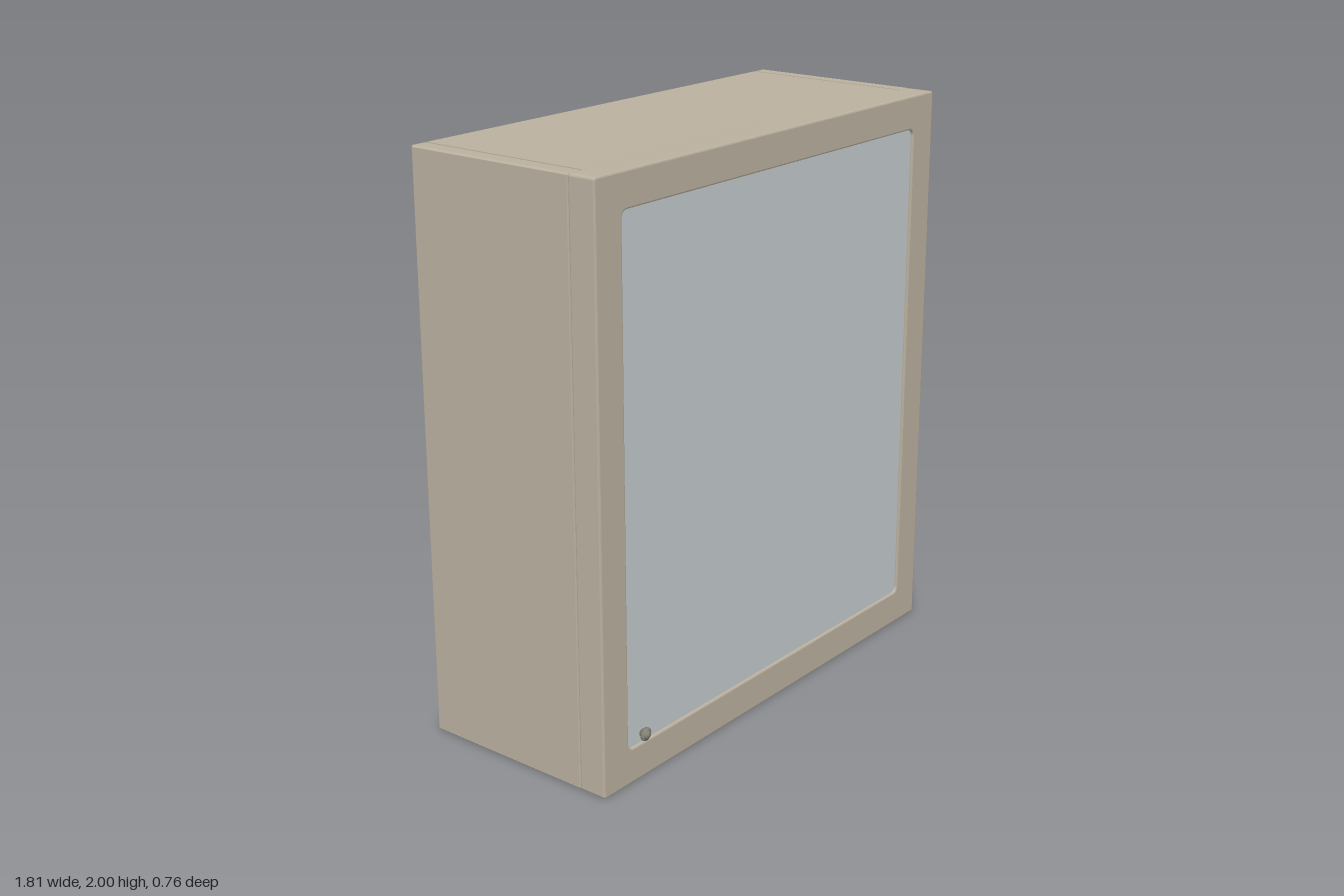
import * as THREE from 'three';

const mat = (name, color) => new THREE.MeshStandardMaterial({ name, color });

// Rounded rectangle outline, usable as a shape or as a hole
function roundRect(x0, x1, y0, y1, r, Type = THREE.Shape) {
  const s = new Type();
  s.moveTo(x0 + r, y0);
  s.lineTo(x1 - r, y0);
  s.absarc(x1 - r, y0 + r, r, -Math.PI / 2, 0);
  s.lineTo(x1, y1 - r);
  s.absarc(x1 - r, y1 - r, r, 0, Math.PI / 2);
  s.lineTo(x0 + r, y1);
  s.absarc(x0 + r, y1 - r, r, Math.PI / 2, Math.PI);
  s.lineTo(x0, y0 + r);
  s.absarc(x0 + r, y0 + r, r, Math.PI, Math.PI * 1.5);
  return s;
}

// Extrudes from z0 to z1 with softened edges that stay inside the outline
function slab(shape, z0, z1, bevel) {
  const geo = new THREE.ExtrudeGeometry(shape, {
    depth: z1 - z0 - 2 * bevel, bevelEnabled: bevel > 0, bevelThickness: bevel,
    bevelSize: bevel, bevelOffset: -bevel, bevelSegments: 2, curveSegments: 6,
  });
  return geo.translate(0, 0, z0 + bevel);
}

export function createModel() {
  const model = new THREE.Group();
  model.name = 'wallCabinet';
  const paint = mat('warmGreyPaint', 0xbab09f);
  const glass = mat('mirrorGlass', 0xc3cbcd);
  const steel = mat('brushedSteel', 0x8f9499);
  const bright = mat('brightSteel', 0xc2c9d0);
  const brass = mat('knobMetal', 0x8a8579);

  const add = (name, geo, material, parent = model) => {
    const mesh = new THREE.Mesh(geo, material);
    mesh.name = name;
    parent.add(mesh);
    return mesh;
  };

  const L = -0.905, R = 0.892;

  // Cabinet body: outline with a narrow groove beside each side panel, top and bottom
  const gl = -0.847, gr = 0.834, w = 0.004, d = 0.014, c = 0.006;
  const body = new THREE.Shape([
    [L + c, 0], [gl - w, 0], [gl - w, d], [gl + w, d], [gl + w, 0],
    [gr - w, 0], [gr - w, d], [gr + w, d], [gr + w, 0], [R - c, 0],
    [R, c], [R, 2 - c], [R - c, 2],
    [gr + w, 2], [gr + w, 2 - d], [gr - w, 2 - d], [gr - w, 2],
    [gl + w, 2], [gl + w, 2 - d], [gl - w, 2 - d], [gl - w, 2], [L + c, 2],
    [L, 2 - c], [L, c],
  ].map(([x, y]) => new THREE.Vector2(x, y)));
  add('cabinetBody', slab(body, -0.383, 0.258, 0.004), paint);

  // Door: frame around a recessed mirror
  const door = new THREE.Group();
  door.name = 'door';
  model.add(door);
  const frame = roundRect(L, R, 0, 2, 0.01);
  frame.holes.push(roundRect(-0.785, 0.772, 0.123, 1.882, 0.022, THREE.Path));
  add('doorFrame', slab(frame, 0.258, 0.36, 0.006), paint, door);
  add('mirror', slab(roundRect(-0.79, 0.777, 0.118, 1.887, 0.02), 0.3, 0.35, 0), glass, door);

  // Small turned knob in the lower corner of the mirror
  const profile = [[0, 0], [0.013, 0], [0.013, 0.012], [0.023, 0.014],
    [0.023, 0.021], [0.013, 0.023], [0.011, 0.03], [0, 0.032]];
  const knobGeo = new THREE.LatheGeometry(profile.map(([r, y]) => new THREE.Vector2(r, y)), 20);
  const knob = add('knob', knobGeo.rotateX(Math.PI / 2), brass, door);
  knob.position.set(-0.708, 0.153, 0.349);

  // Latch plate on the door edge: steel rim around a bright waisted centre
  const latch = new THREE.Group();
  latch.name = 'latch';
  latch.position.set(R - 0.004, 1.003, 0.315);
  latch.rotation.y = Math.PI / 2;
  door.add(latch);
  const rim = roundRect(-0.034, 0.034, -0.1, 0.1, 0.016);
  rim.holes.push(roundRect(-0.022, 0.022, -0.088, 0.088, 0.008, THREE.Path));
  add('latchRim', slab(rim, 0, 0.0145, 0.003), steel, latch);
  add('latchCentre', slab(roundRect(-0.024, 0.024, -0.09, 0.09, 0.006), 0, 0.009, 0), bright, latch);
  for (const s of [-1, 1]) {
    const notch = add('latchNotch', new THREE.BoxGeometry(0.006, 0.05, 0.005), steel, latch);
    notch.position.set(s * 0.019, s * 0.05, 0.009);
  }
  return model;
}
